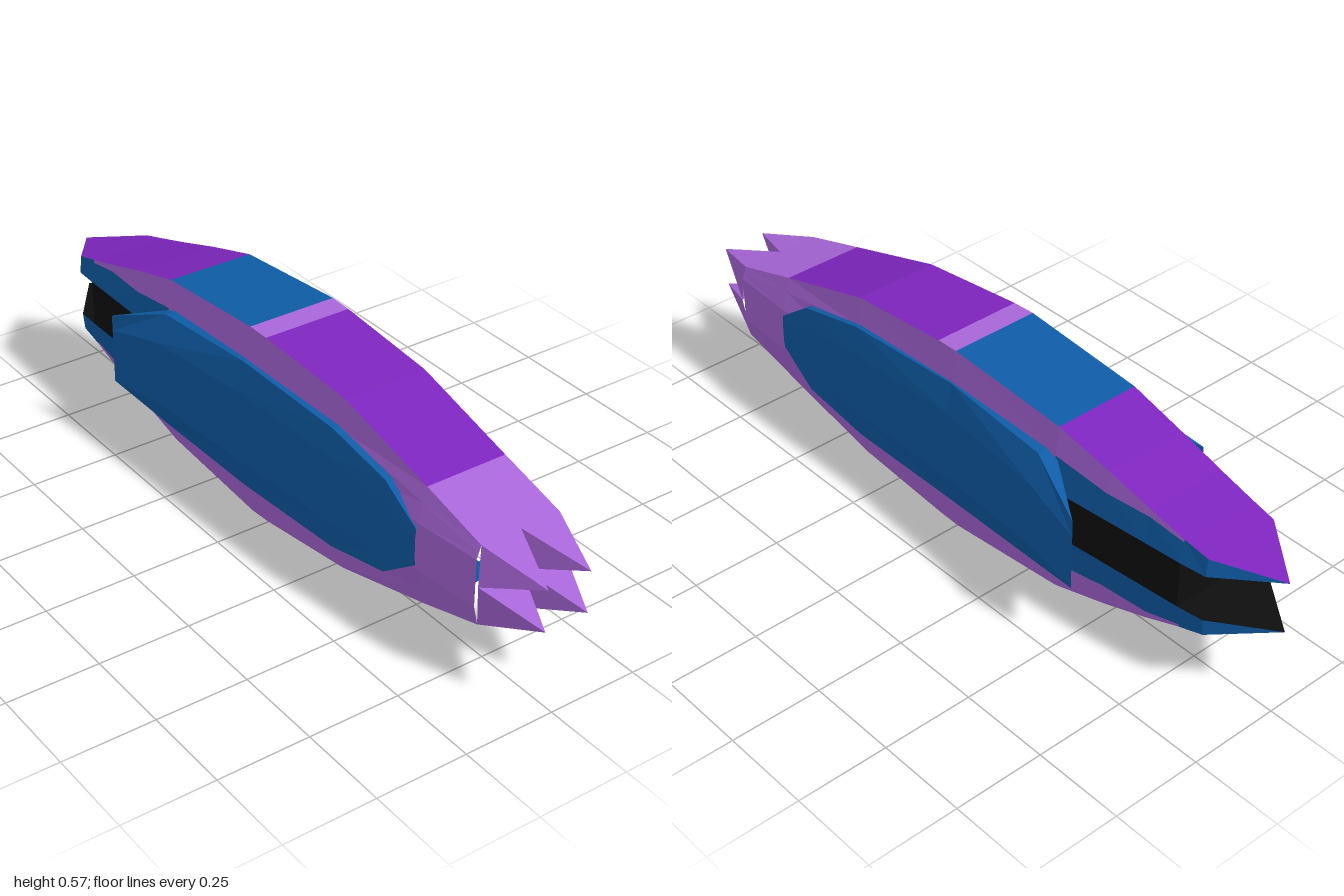
import * as THREE from 'three';

const mat = (name, color, double) => {
  const m = new THREE.MeshStandardMaterial({ color });
  m.name = name;
  if (double) m.side = THREE.DoubleSide;
  return m;
};

// Collects flat faces, each turned away from a reference point inside the part
class Faces {
  constructor() { this.pos = []; }
  tri(a, b, c, ref) {
    const [A, B, C] = [a, b, c].map(p => new THREE.Vector3(...p));
    const n = B.clone().sub(A).cross(C.clone().sub(A));
    if (n.lengthSq() < 1e-14) return;
    const out = A.clone().add(B).add(C).divideScalar(3).sub(new THREE.Vector3(...ref));
    this.pos.push(...a, ...(n.dot(out) < 0 ? [...c, ...b] : [...b, ...c]));
  }
  quad(a, b, c, d, ref) { this.tri(a, b, c, ref); this.tri(a, c, d, ref); }
  mesh(name, material) {
    const g = new THREE.BufferGeometry();
    g.setAttribute('position', new THREE.Float32BufferAttribute(this.pos, 3));
    g.computeVertexNormals();
    const m = new THREE.Mesh(g, material);
    m.name = name;
    return m;
  }
}

// Hull stations: z, centre x, half width, bulge, top y, lower corner y, keel drop, rim height
const STATIONS = [
  [0.83, 0.025, 0.115, 0.012, 0.405, 0.185, 0.0, 0.02],
  [0.64, 0.02, 0.115, 0.025, 0.46, 0.132, 0.015, 0.04],
  [0.34, 0.013, 0.118, 0.025, 0.545, 0.06, 0.025, 0.08],
  [0.035, 0.005, 0.124, 0.025, 0.572, 0.032, 0.03, 0.08],
  [-0.03, 0.004, 0.125, 0.025, 0.574, 0.03, 0.03, 0.08],
  [-0.39, 0, 0.122, 0.02, 0.545, 0.06, 0.025, 0.08],
  [-0.55, -0.005, 0.117, 0.015, 0.502, 0.1, 0.02, 0.06],
  [-0.68, -0.01, 0.113, 0.012, 0.463, 0.138, 0.018, 0.02],
  [-0.78, -0.014, 0.11, 0.01, 0.435, 0.172, 0.012, 0.008],
];
const SLOT_TOP = 0.37, SLOT_LOW = 0.24;

// Side points of one station from roof edge to lower edge
function sideRow([z, cx, hw, bulge, top, low, , rim], s) {
  const at = (y, k) => [cx + s * (hw + bulge * k), y, z];
  return [
    at(top, 0), at(top - rim, rim / (top - SLOT_TOP)), at(SLOT_TOP, 1),
    at(SLOT_LOW, 1), at(low + rim, rim / (SLOT_LOW - low)), at(low, 0),
  ];
}

export function createModel() {
  const group = new THREE.Group();
  group.name = 'podCraft';
  const lilac = mat('lilac', 0xa866d8);
  const violet = mat('violet', 0x7d25bd);
  const blue = mat('blue', 0x0f5ca6, true);
  const black = mat('black', 0x0e0e0e);
  const lilacHull = new Faces(), violetRoof = new Faces(), blueHull = new Faces(), slot = new Faces();
  const mid = [0, 0.3, 0];

  // Hull: roof, keel and sides between stations
  const roofs = [lilacHull, violetRoof, violetRoof, lilacHull, blueHull, violetRoof, violetRoof, violetRoof];
  for (let i = 0; i < STATIONS.length - 1; i++) {
    const A = STATIONS[i], B = STATIONS[i + 1];
    const rows = [1, -1].map(s => [sideRow(A, s), sideRow(B, s)]);
    roofs[i].quad(rows[0][0][0], rows[1][0][0], rows[1][1][0], rows[0][1][0], mid);
    const keel = i === 0 ? lilacHull : blueHull;
    const ka = [A[1], A[5] - A[6], A[0]], kb = [B[1], B[5] - B[6], B[0]];
    for (const [a, b] of rows) {
      keel.quad(a[5], ka, kb, b[5], mid);
      for (let j = 0; j < 5; j++) {
        let part = lilacHull;
        if (i >= 5 && j === 2) part = slot;
        else if (i >= 6 && (j === 1 || j === 3)) part = blueHull;
        else if (i === 5 && (j === 1 || j === 3)) part = blueHull;
        part.quad(a[j], a[j + 1], b[j + 1], b[j], mid);
      }
    }
  }

  // Tail: closed slot end between an upper and a lower pointed prong
  const end = STATIONS[STATIONS.length - 1];
  const [R, L] = [1, -1].map(s => sideRow(end, s));
  slot.quad(R[2], R[3], L[3], L[2], mid);
  const prongs = [
    { outer: 0, inner: 2, yOut: 0.417, yIn: 0.368, drop: 0, tip: 0.38, skin: violetRoof },
    { outer: 5, inner: 3, yOut: 0.19, yIn: 0.238, drop: 0.008, tip: 0.235, skin: blueHull },
  ];
  for (const p of prongs) {
    const ref = [-0.016, (p.yOut + p.yIn) / 2, -0.83], tip = [-0.02, p.tip, -1];
    const c0 = [end[1], R[p.outer][1] - (p.drop ? end[6] : 0), end[0]];
    const c1 = [-0.0175, p.yOut - p.drop, -0.85];
    const in0 = [], in1 = [];
    for (const [s, row] of [[1, R], [-1, L]]) {
      const o = [-0.0175 + s * 0.107, p.yOut, -0.85];
      const n = [-0.0175 + s * 0.112, p.yIn, -0.85];
      p.skin.quad(row[p.outer], c0, c1, o, ref);
      p.skin.tri(o, c1, tip, ref);
      blueHull.quad(row[p.outer], row[p.inner], n, o, ref);
      blueHull.tri(o, n, tip, ref);
      in0.push(row[p.inner]);
      in1.push(n);
    }
    slot.quad(in0[0], in0[1], in1[1], in1[0], ref);
    slot.tri(in1[0], in1[1], tip, ref);
  }

  // Nose: four pyramid teeth, two by two
  const nose = new Faces();
  const edgeX = [0.115, 0.127];
  for (const s of [1, -1]) for (const up of [true, false]) {
    const y = up ? 0.405 : 0.185, z = 0.83, cx = 0.025, c = 0.3;
    const base = [
      [cx + s * edgeX[0], y, z], [cx, y, z], [cx, c, z + 0.01], [cx + s * edgeX[1], c, z + 0.01],
    ];
    const tip = [cx + s * 0.0625, up ? 0.36 : 0.245, 1];
    const ref = [cx + s * 0.06, (y + c) / 2, z];
    base.forEach((b, i) => nose.tri(b, base[(i + 1) % 4], tip, ref));
  }

  // Side panels flaring outwards to the rear: z, edge x, middle x, half height
  const COLS = [
    [0.64, 0.142, 0.144, 0.05], [0.53, 0.146, 0.15, 0.13], [0.33, 0.145, 0.155, 0.17],
    [-0.03, 0.145, 0.163, 0.183], [-0.36, 0.16, 0.188, 0.168], [-0.54, 0.215, 0.215, 0.1],
  ];
  for (const s of [1, -1]) {
    const panel = new Faces(), ref = [s * 0.1, 0.302, 0];
    const cols = COLS.map(([z, xe, xm, h]) => [[1, xe], [0.55, xm], [-0.55, xm], [-1, xe]]
      .map(([k, x]) => [s * x + Math.max(0, z) * 0.03, 0.302 + k * h, z]));
    const inner = cols.map(col => col.map(([, y, z]) => [s * 0.11 + Math.max(0, z) * 0.03, y, z]));
    const last = cols.length - 1;
    for (let i = 0; i < last; i++) {
      for (let j = 0; j < 3; j++) panel.quad(cols[i][j], cols[i][j + 1], cols[i + 1][j + 1], cols[i + 1][j], ref);
      for (const j of [0, 3]) {
        if (i < last - 1) panel.quad(cols[i][j], cols[i + 1][j], inner[i + 1][j], inner[i][j], ref);
        else panel.tri(cols[i][j], cols[last][j], inner[i][j], ref);
      }
    }
    for (let j = 0; j < 3; j++) {
      panel.quad(cols[last][j], cols[last][j + 1], inner[last - 1][j + 1], inner[last - 1][j], ref);
    }
    group.add(panel.mesh(s > 0 ? 'leftSidePanel' : 'rightSidePanel', blue));
  }

  group.add(
    lilacHull.mesh('hullFrame', lilac),
    violetRoof.mesh('roofPlates', violet),
    blueHull.mesh('keelAndTailPlates', blue),
    slot.mesh('tailSlot', black),
    nose.mesh('noseTeeth', lilac),
  );
  return group;
}
